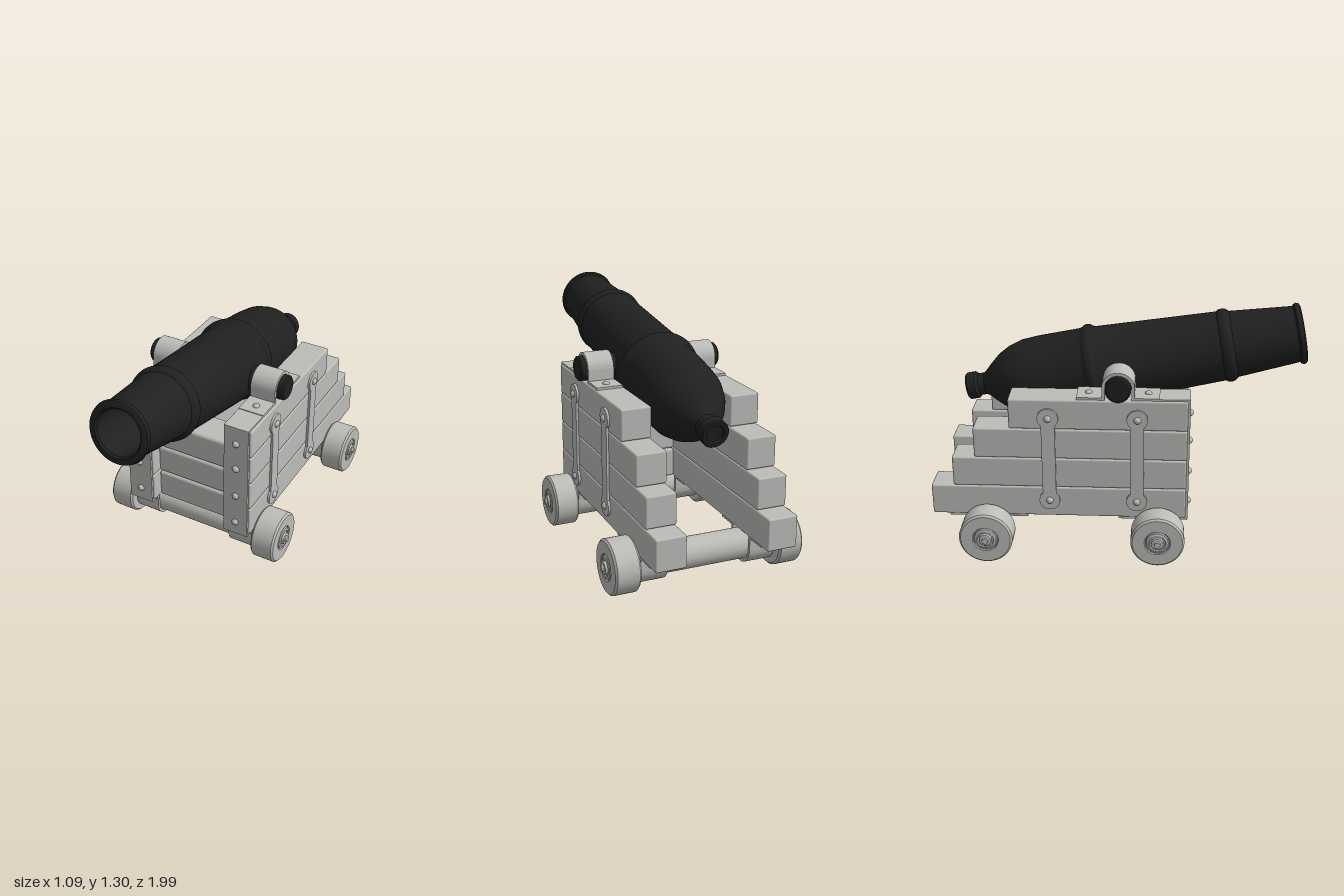
import * as THREE from 'three';
import { toCreasedNormals } from 'three/addons/utils/BufferGeometryUtils.js';
import { RoundedBoxGeometry } from 'three/addons/geometries/RoundedBoxGeometry.js';

const paleGrey = new THREE.MeshStandardMaterial({ color: 0xbcbcb9 });
const blackIron = new THREE.MeshStandardMaterial({ color: 0x202020 });
paleGrey.name = 'paleGrey';
blackIron.name = 'blackIron';

const TRUNNION_Y = 0.968, AXLE_Y = 0.146, SIDE_X = 0.299;

function add(parent, name, geometry, material, x = 0, y = 0, z = 0) {
  const mesh = new THREE.Mesh(geometry, material);
  mesh.name = name;
  mesh.position.set(x, y, z);
  parent.add(mesh);
  return mesh;
}

// Profile given as [radius, height] pairs, turned about y
function turned(profile, segments = 48) {
  const points = profile.map(([r, h]) => new THREE.Vector2(r, h));
  return toCreasedNormals(new THREE.LatheGeometry(points, segments), 0.6);
}

// Side profile (shape x = world z) extruded along world x, centred on x = 0
function sideExtrude(shape, width) {
  const g = new THREE.ExtrudeGeometry(shape, { depth: width, bevelEnabled: false, curveSegments: 20 });
  g.translate(0, 0, -width / 2).rotateY(-Math.PI / 2);
  return toCreasedNormals(g, 0.6);
}

// Iron strap bent over a round bar, with a flat flange at each end
function clampGeometry(h, R, r, back, front) {
  const t = 0.014, s = new THREE.Shape();
  s.moveTo(-back, 0);
  s.lineTo(-back, t);
  s.lineTo(-R, t);
  s.lineTo(-R, h);
  s.absarc(0, h, R, Math.PI, 0, true);
  s.lineTo(R, t);
  s.lineTo(front, t);
  s.lineTo(front, 0);
  s.lineTo(r, 0);
  s.lineTo(r, h);
  s.absarc(0, h, r, 0, Math.PI, false);
  s.lineTo(-r, 0);
  s.closePath();
  return sideExtrude(s, 0.143);
}

// Upright strap with a round eye at each end
function strapGeometry() {
  const s = new THREE.Shape(), R = 0.055, w = 0.036, h = 0.239;
  const a = Math.asin(w / R);
  s.absarc(0, h, R, -Math.PI / 2 + a, Math.PI * 1.5 - a, false);
  s.absarc(0, -h, R, Math.PI / 2 + a, Math.PI * 2.5 - a, false);
  s.closePath();
  return sideExtrude(s, 0.014);
}

function bolt(parent, x, y, z, direction) {
  const g = new THREE.SphereGeometry(0.02, 16, 6, 0, Math.PI * 2, 0, Math.PI / 2);
  const mesh = add(parent, 'bolt', g, paleGrey, x, y, z);
  mesh.quaternion.setFromUnitVectors(new THREE.Vector3(0, 1, 0), direction);
}

function buildBarrel() {
  const barrel = new THREE.Group();
  barrel.name = 'barrel';
  const tube = turned([
    // hollow button and neck
    [0, -0.835], [0.045, -0.84], [0.05, -0.856], [0.068, -0.856], [0.074, -0.848],
    [0.074, -0.805], [0.068, -0.797], [0.06, -0.79], [0.06, -0.755],
    // rounded breech
    [0.075, -0.735], [0.108, -0.70], [0.15, -0.65], [0.182, -0.59], [0.205, -0.515], [0.212, -0.42], [0.215, -0.19],
    // rear ring
    [0.22, -0.175], [0.229, -0.165], [0.231, -0.15], [0.229, -0.135], [0.22, -0.125], [0.212, -0.11],
    // forward ring
    [0.186, 0.545], [0.194, 0.555], [0.197, 0.575], [0.194, 0.592], [0.185, 0.605], [0.178, 0.612],
    // muzzle lip
    [0.15, 0.945], [0.16, 0.952], [0.164, 0.965], [0.16, 0.978], [0.15, 0.984],
    // bore
    [0.128, 0.984], [0.12, 0.974], [0.12, 0.05], [0, 0.0],
  ], 64);
  tube.rotateX(Math.PI / 2 - 0.186);
  add(barrel, 'gunTube', tube, blackIron);
  const trunnions = turned([[0, -0.406], [0.058, -0.406], [0.067, -0.397], [0.067, -0.1]], 36);
  trunnions.rotateZ(-Math.PI / 2);
  add(barrel, 'rightTrunnion', trunnions, blackIron);
  add(barrel, 'leftTrunnion', trunnions, blackIron).rotation.y = Math.PI;
  barrel.position.y = TRUNNION_Y;
  return barrel;
}

function buildCheek(side) {
  const cheek = new THREE.Group();
  cheek.name = side > 0 ? 'leftCheek' : 'rightCheek';
  const x = side * SIDE_X;

  // Stepped planks, longest at the bottom
  [[0.222, 0.394, -1.0], [0.396, 0.564, -0.88], [0.566, 0.734, -0.76], [0.736, 0.902, -0.57]].forEach(([y0, y1, back]) => {
    add(cheek, 'plank', new RoundedBoxGeometry(0.163, y1 - y0, 0.36 - back, 2, 0.01), paleGrey,
      x, (y0 + y1) / 2, (0.36 + back) / 2);
  });

  // Front strap turned over the top edge
  add(cheek, 'frontStrap', new THREE.BoxGeometry(0.141, 0.7, 0.014), paleGrey, x, 0.561, 0.366);
  add(cheek, 'frontStrapTop', new THREE.BoxGeometry(0.141, 0.012, 0.16), paleGrey, x, 0.905, 0.293);
  for (const y of [0.29, 0.47, 0.65, 0.81]) bolt(cheek, x, y, 0.371, new THREE.Vector3(0, 0, 1));

  // Outer upright straps
  const out = new THREE.Vector3(side, 0, 0);
  for (const z of [0.1, -0.364]) {
    add(cheek, 'sideStrap', strapGeometry(), paleGrey, side * 0.386, 0.561, z);
    for (const y of [0.322, 0.8]) bolt(cheek, side * 0.39, y, z, out);
  }

  // Clamp over the trunnion
  add(cheek, 'trunnionClamp', clampGeometry(0.067, 0.085, 0.069, 0.215, 0.215), paleGrey, x, 0.901, 0);
  for (const z of [0.155, -0.155]) bolt(cheek, x, 0.91, z, new THREE.Vector3(0, 1, 0));

  // Clamps under the axles
  [[0.214, 0.156], [-0.7, 0.212]].forEach(([z, front]) => {
    add(cheek, 'axleClamp', clampGeometry(0.076, 0.101, 0.086, front, 0.212), paleGrey, x, 0.222, z)
      .rotation.x = Math.PI;
  });
  return cheek;
}

function buildWheelSet(z) {
  const set = new THREE.Group();
  set.name = z > 0 ? 'frontWheels' : 'rearWheels';
  set.position.set(0, AXLE_Y, z);
  const axle = new THREE.CylinderGeometry(0.081, 0.081, 0.78, 40).rotateZ(Math.PI / 2);
  add(set, 'axle', axle, paleGrey);
  const wheel = turned([
    [0, 0.381], [0.133, 0.381], [0.143, 0.391], [0.143, 0.507], [0.133, 0.517],
    [0.07, 0.517], [0.066, 0.511], [0.062, 0.511], [0.058, 0.518],
    [0.046, 0.522], [0.042, 0.516], [0.034, 0.516], [0.032, 0.53], [0.018, 0.532],
    [0.016, 0.542], [0, 0.543],
  ]).rotateZ(-Math.PI / 2);
  add(set, 'leftWheel', wheel, paleGrey);
  add(set, 'rightWheel', wheel, paleGrey).rotation.y = Math.PI;
  return set;
}

export function createModel() {
  const model = new THREE.Group();
  model.name = 'cannon';
  model.add(buildBarrel(), buildCheek(1), buildCheek(-1), buildWheelSet(0.214), buildWheelSet(-0.7));

  // Cross boards joining the cheeks
  for (const y of [0.309, 0.48, 0.65]) {
    add(model, 'crossBoard', new RoundedBoxGeometry(0.437, 0.168, 0.19, 3, 0.018), paleGrey, 0, y, 0.21);
  }
  return model;
}
